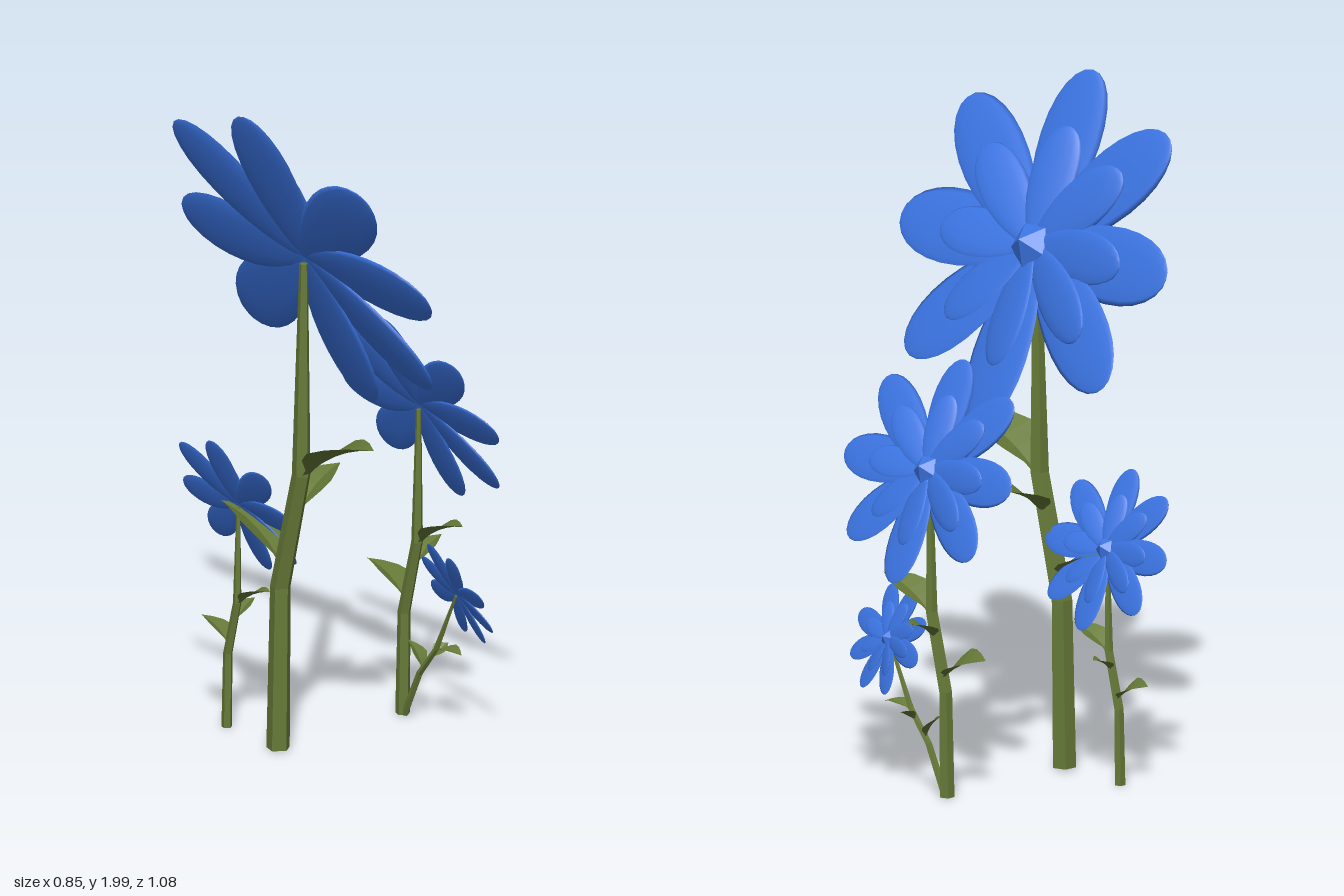
import * as THREE from 'three';

const blue = new THREE.MeshStandardMaterial({ color: 0x3b74e2 });
blue.name = 'petalBlue';
const blueFacet = new THREE.MeshStandardMaterial({ color: 0x3b74e2, flatShading: true });
blueFacet.name = 'petalBlueFaceted';
const green = new THREE.MeshStandardMaterial({ color: 0x677a38, flatShading: true, side: THREE.DoubleSide });
green.name = 'leafGreen';

// Apply a rule to every vertex of a geometry
function reshape(geometry, rule) {
  const p = geometry.attributes.position;
  const v = new THREE.Vector3();
  for (let i = 0; i < p.count; i++) {
    rule(v.fromBufferAttribute(p, i));
    p.setXYZ(i, v.x, v.y, v.z);
  }
  geometry.computeVertexNormals();
  return geometry;
}

function part(name, geometry, material) {
  const mesh = new THREE.Mesh(geometry, material);
  mesh.name = name;
  return mesh;
}

// Unit petal: a flat lens along +y, widest past the middle
const petalGeometry = reshape(new THREE.SphereGeometry(1, 12, 12), (v) => {
  const t = Math.max(0, (v.y + 1) / 2);
  v.y = Math.pow(t, 0.72);
});

// Angle from the top (degrees) and length of each petal
const petals = [[0, 0.53], [50, 0.57], [90, 0.54], [136, 0.52], [180, 0.54], [231, 0.55], [270, 0.53], [316, 0.54]];

function makeFlower() {
  const flower = new THREE.Group();
  flower.name = 'flower';
  const rings = [
    { name: 'outerPetal', size: 1, width: 0.112, thick: 0.013, lift: 0, roll: 0.06 },
    { name: 'innerPetal', size: 0.67, width: 0.078, thick: 0.013, lift: 0.017, roll: 0.2 },
  ];
  for (const ring of rings) {
    for (const [angle, length] of petals) {
      const petal = part(ring.name, petalGeometry, blue);
      petal.scale.set(ring.width, length * ring.size, ring.thick);
      petal.rotation.set(0, ring.roll, THREE.MathUtils.degToRad(angle), 'ZYX');
      petal.position.z = ring.lift;
      flower.add(petal);
    }
  }
  // Five-sided pointed centre
  const centre = part('flowerCentre', new THREE.ConeGeometry(0.07, 0.05, 5), blueFacet);
  centre.rotation.x = Math.PI / 2;
  centre.position.z = 0.05;
  flower.add(centre);
  // Face +x, tipped upward
  const normal = new THREE.Vector3(0.9, 0.436, 0).normalize();
  const up = new THREE.Vector3(-0.436, 0.9, 0).normalize();
  flower.setRotationFromMatrix(new THREE.Matrix4().makeBasis(up.clone().cross(normal), up, normal));
  flower.position.set(0.006, 1.517, 0.11);
  return flower;
}

// Tapered five-sided stem: x, y, z, radius per ring, from the top down
const stemRings = [
  [0, 1.5, 0.11, 0.013],
  [0, 0.86, 0.1, 0.028],
  [0, 0.5, 0.01, 0.031],
  [0, 0.01, 0, 0.035],
];
function makeStem() {
  const n = stemRings.length - 1;
  return part('stem', reshape(new THREE.CylinderGeometry(1, 1, 1, 5, n), (v) => {
    const [x, y, z, r] = stemRings[Math.round((0.5 - v.y) * n)];
    v.set(x + v.x * r, y, z + v.z * r);
  }), green);
}

// Leaf folded along its midrib, running from one point to another
const leafWidths = [0.08, 0.22, 0.75, 1, 0.8, 0.45, 0];
function makeLeaf(from, to, side, width) {
  const start = new THREE.Vector3(...from);
  const dir = new THREE.Vector3(...to).sub(start);
  const length = dir.length();
  dir.normalize();
  const normal = new THREE.Vector3(...side).cross(dir).normalize();
  const across = dir.clone().cross(normal);
  const n = leafWidths.length - 1;
  const leaf = part('leaf', reshape(new THREE.PlaneGeometry(2, 1, 2, n), (v) => {
    const t = v.y + 0.5;
    const w = v.x * leafWidths[Math.round(t * n)] * width / 2;
    v.set(w, t * length, Math.abs(w) * 0.3 + length * 0.35 * t * (1 - t));
  }), green);
  leaf.setRotationFromMatrix(new THREE.Matrix4().makeBasis(across, dir, normal));
  leaf.position.copy(start);
  return leaf;
}

function makePlant(name, position, scale, lean) {
  const plant = new THREE.Group();
  plant.name = name;
  plant.add(
    makeStem(),
    makeFlower(),
    makeLeaf([0, 0.84, 0.1], [0.03, 1.0, 0.38], [-1, 0, 0], 0.2),
    makeLeaf([0, 0.73, 0.08], [0.19, 0.84, 0.05], [0, 0.1, 1], 0.15),
    makeLeaf([0, 0.55, 0.03], [0, 0.69, -0.25], [1, -0.35, 0], 0.22),
  );
  plant.position.set(...position);
  plant.scale.setScalar(scale);
  plant.rotation.x = lean;
  return plant;
}

export function createModel() {
  const model = new THREE.Group();
  model.name = 'flowerCluster';
  model.add(
    makePlant('tallPlant', [-0.2, 0, -0.11], 1, 0),
    makePlant('mediumPlant', [0.268, 0, -0.11], 0.627, 0),
    makePlant('smallPlant', [-0.182, 0, -0.354], 0.453, 0),
    makePlant('leaningPlant', [0.265, 0.005, -0.1], 0.315, 0.42),
  );
  return model;
}
